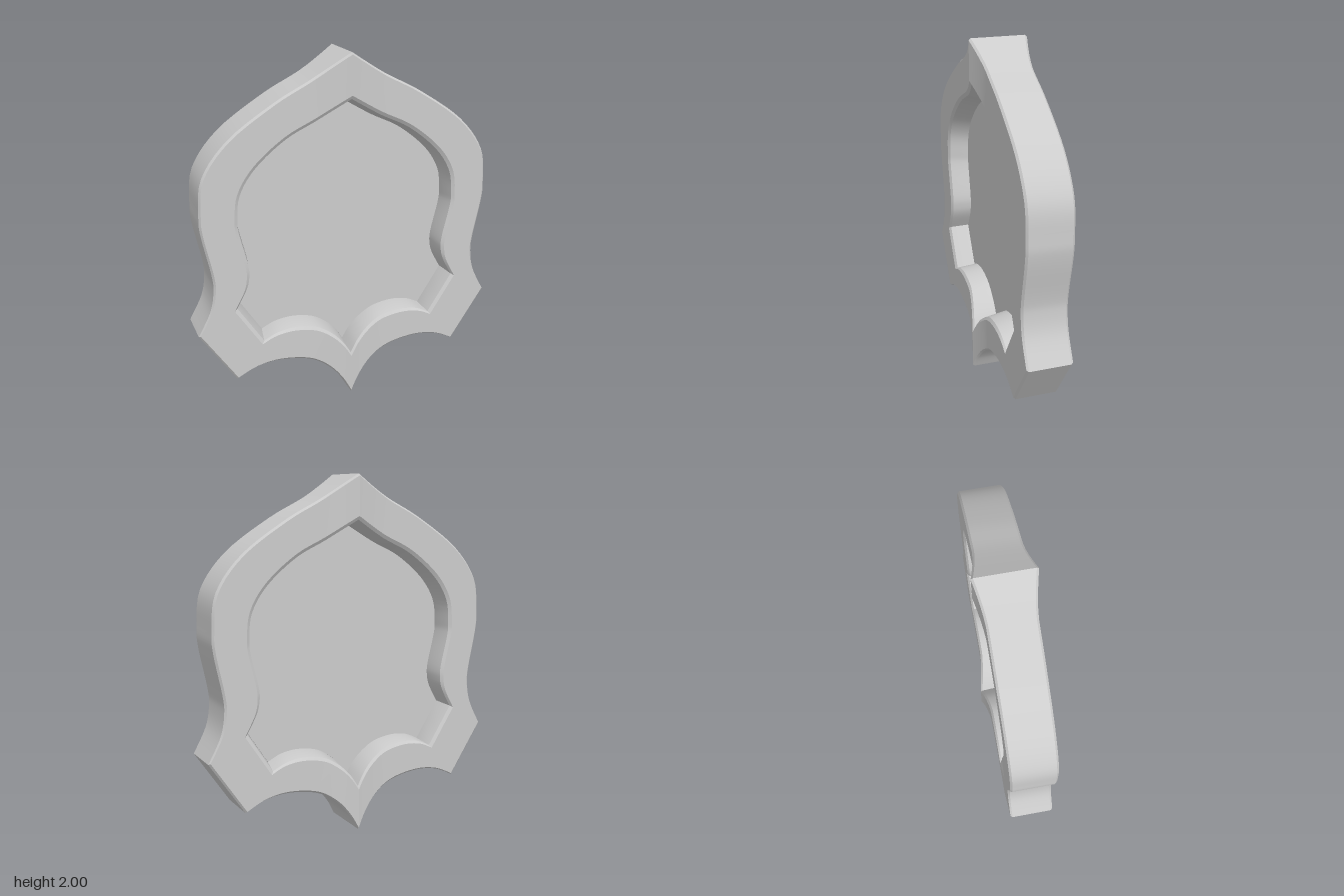
import * as THREE from 'three';
import { toCreasedNormals } from 'three/addons/utils/BufferGeometryUtils.js';

// Right half of each outline, top to bottom: side curve, straight corner cut, lower scallop
const OUTER = [
  [[0, 2], [0.2, 1.875], [0.41, 1.765], [0.665, 1.59], [0.81, 1.4], [0.836, 1.2], [0.83, 1.085], [0.787, 0.87], [0.78, 0.77], [0.803, 0.65], [0.875, 0.51]],
  [[0.875, 0.51], [0.675, 0.21]],
  [[0.675, 0.21], [0.56, 0.262], [0.42, 0.279], [0.25, 0.25], [0.13, 0.18], [0.05, 0.09], [0, 0]],
];
const INNER = [
  [[0, 1.765], [0.18, 1.66], [0.36, 1.57], [0.53, 1.43], [0.62, 1.29], [0.638, 1.15], [0.632, 1.07], [0.59, 0.89], [0.587, 0.81], [0.606, 0.74], [0.662, 0.638]],
  [[0.662, 0.638], [0.515, 0.41]],
  [[0.515, 0.41], [0.43, 0.448], [0.32, 0.46], [0.2, 0.438], [0.11, 0.385], [0.045, 0.32], [0, 0.25]],
];
const STEPS = [50, 2, 30];

// Sample the half outline and mirror it into a closed clockwise loop
function outline(segments) {
  const half = [];
  segments.forEach((pts, s) => {
    const curve = new THREE.SplineCurve(pts.map(([x, y]) => new THREE.Vector2(x, y)));
    for (let i = 0; i < STEPS[s]; i++) half.push(curve.getPoint(i / STEPS[s]));
  });
  const end = segments.at(-1).at(-1);
  half.push(new THREE.Vector2(end[0], end[1]));
  const left = half.slice(1, -1).reverse().map((p) => new THREE.Vector2(-p.x, p.y));
  return [...half, ...left];
}

// The faces swell to a ridge at the centre line
const swell = (x) => 0.035 * Math.pow(Math.max(0, 1 - Math.abs(x) / 0.2), 1.5);

// Foot of the sloping inner wall
const foot = (p) => new THREE.Vector2(p.x * 0.955, 1 + (p.y - 1) * 0.955);

function frameGeometry(outer, inner) {
  const rings = outer.map((o, i) => {
    const n = inner[i];
    const bevel = 0.011 / o.distanceTo(n);
    const front = [
      [foot(n), 0],
      [n.clone().lerp(foot(n), 0.25), 0.113],
      [n.clone().lerp(o, bevel), 0.125],
      [o.clone().lerp(n, bevel), 0.125],
      [o, 0.114],
    ].map(([p, z]) => new THREE.Vector3(p.x, p.y, z && z + swell(p.x)));
    const back = front.slice(1).reverse().map((p) => new THREE.Vector3(p.x, p.y, -p.z));
    return [...front, ...back, front[0].clone()];
  });

  const cols = rings[0].length;
  const positions = rings.flat().flatMap((p) => [p.x, p.y, p.z]);
  const index = [];
  for (let i = 0; i < rings.length; i++) {
    const a = i * cols;
    const b = ((i + 1) % rings.length) * cols;
    for (let j = 0; j < cols - 1; j++) {
      index.push(a + j, b + j, b + j + 1, a + j, b + j + 1, a + j + 1);
    }
  }
  const geometry = new THREE.BufferGeometry();
  geometry.setAttribute('position', new THREE.Float32BufferAttribute(positions, 3));
  geometry.setIndex(index);
  return toCreasedNormals(geometry, 0.45);
}

export function createModel() {
  const model = new THREE.Group();
  model.name = 'shieldPlaque';
  const material = new THREE.MeshStandardMaterial({ color: 0xcccccc });
  const outer = outline(OUTER);
  const inner = outline(INNER);

  // Raised bevelled border, the same on front and back
  const frame = new THREE.Mesh(frameGeometry(outer, inner), material);
  frame.name = 'frame';
  model.add(frame);

  // Thin recessed panel across the middle
  const panelGeometry = new THREE.ExtrudeGeometry(new THREE.Shape(inner.map(foot)), { depth: 0.01, bevelEnabled: false });
  panelGeometry.translate(0, 0, -0.005);
  const panel = new THREE.Mesh(panelGeometry, material);
  panel.name = 'panel';
  model.add(panel);

  return model;
}
